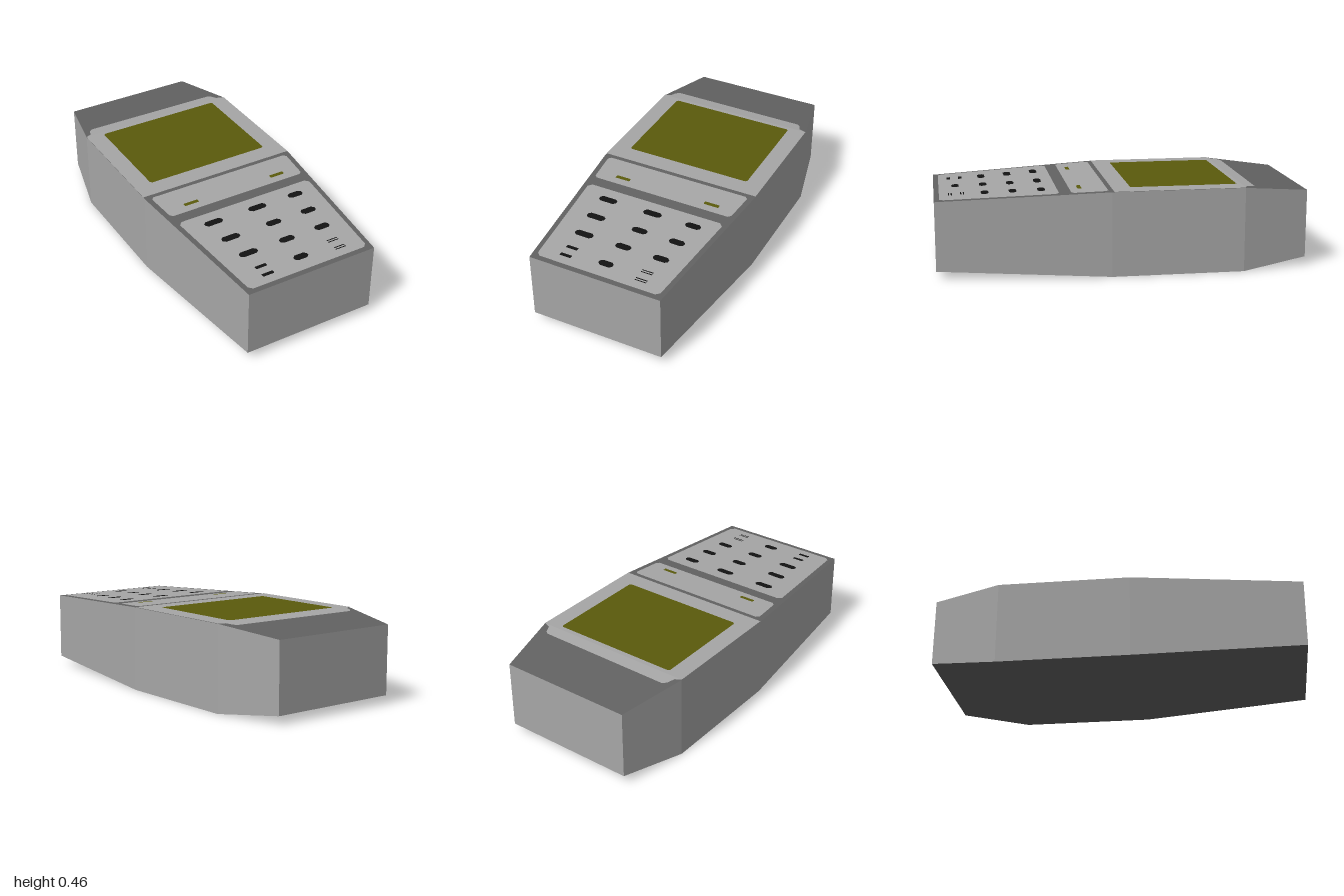
import * as THREE from 'three';

// Cross-sections of the case, back to front: z, half width, bottom, top
const SECTIONS = [
  [-1, 0.372, 0.045, 0.417],
  [-0.635, 0.457, 0, 0.457],
  [0.08, 0.457, 0, 0.457],
  [1, 0.372, 0.045, 0.417],
];

// Height of the top surface at a given z
function topY(z) {
  let i = 0;
  while (i < 2 && z > SECTIONS[i + 1][0]) i++;
  const a = SECTIONS[i], b = SECTIONS[i + 1];
  return a[3] + ((b[3] - a[3]) * (z - a[0])) / (b[0] - a[0]);
}

// Mesh from flat quads given as four counter-clockwise corners
function quadMesh(name, quads, material) {
  const pos = [];
  for (const [a, b, c, d] of quads) pos.push(...a, ...b, ...c, ...a, ...c, ...d);
  const geo = new THREE.BufferGeometry();
  geo.setAttribute('position', new THREE.Float32BufferAttribute(pos, 3));
  geo.computeVertexNormals();
  const mesh = new THREE.Mesh(geo, material);
  mesh.name = name;
  return mesh;
}

// Thin plate with an (x, z) outline, laid on the sloping top
function plate(name, outline, material, lift) {
  const geo = new THREE.ShapeGeometry(new THREE.Shape(outline.map(([x, z]) => new THREE.Vector2(x, -z))));
  geo.rotateX(-Math.PI / 2);
  const p = geo.attributes.position;
  for (let i = 0; i < p.count; i++) p.setY(i, topY(p.getZ(i)) + lift);
  geo.computeVertexNormals();
  const mesh = new THREE.Mesh(geo, material);
  mesh.name = name;
  return mesh;
}

// Trapezoid outline with cut corners
function panelOutline(x, backHalf, frontHalf, z0, z1, cx, cz = cx) {
  const right = [
    [backHalf - cx, z0], [backHalf, z0 + cz],
    [frontHalf, z1 - cz], [frontHalf - cx, z1],
  ];
  const left = right.map(([px, pz]) => [-px, pz]).reverse();
  return [...right, ...left].map(([px, pz]) => [px + x, pz]);
}

export function createModel() {
  const grey = new THREE.MeshStandardMaterial({ name: 'light grey', color: 0xa6a6a6 });
  const dark = new THREE.MeshStandardMaterial({ name: 'dark grey', color: 0x626262 });
  const olive = new THREE.MeshStandardMaterial({ name: 'olive', color: 0x5a5a0c });
  const black = new THREE.MeshStandardMaterial({ name: 'black', color: 0x121212 });

  const model = new THREE.Group();
  model.name = 'handheldDevice';

  // Case: tapered sides and ends, top cover and base
  const corner = ([z, w, bottom, top], side, up) => [side * w, up ? top : bottom, z];
  const sides = [], top = [], base = [];
  for (let i = 0; i < 3; i++) {
    const a = SECTIONS[i], b = SECTIONS[i + 1];
    sides.push([corner(b, 1, 0), corner(a, 1, 0), corner(a, 1, 1), corner(b, 1, 1)]);
    sides.push([corner(a, -1, 0), corner(b, -1, 0), corner(b, -1, 1), corner(a, -1, 1)]);
    top.push([corner(b, -1, 1), corner(b, 1, 1), corner(a, 1, 1), corner(a, -1, 1)]);
    base.push([corner(a, -1, 0), corner(a, 1, 0), corner(b, 1, 0), corner(b, -1, 0)]);
  }
  const back = SECTIONS[0], front = SECTIONS[3];
  sides.push([corner(front, -1, 0), corner(front, 1, 0), corner(front, 1, 1), corner(front, -1, 1)]);
  sides.push([corner(back, 1, 0), corner(back, -1, 0), corner(back, -1, 1), corner(back, 1, 1)]);
  model.add(
    quadMesh('caseSides', sides, grey),
    quadMesh('topCover', top, dark),
    quadMesh('base', base, dark),
  );

  // Screen surround: flat part, plus a lip folding over the back slope
  model.add(plate('screenSurround', [[-0.457, -0.635], [0.457, -0.635], [0.457, 0.07], [-0.457, 0.07]], grey, 0.002));
  model.add(plate('screenSurroundLip', [
    [-0.455, -0.635], [-0.425, -0.65], [-0.41, -0.69], [-0.39, -0.708],
    [0.385, -0.7], [0.4, -0.685], [0.415, -0.65], [0.455, -0.635],
  ], grey, 0.002));
  model.add(plate('screen', panelOutline(0, 0.36, 0.36, -0.61, -0.03, 0.01), olive, 0.004));

  // Front panels
  model.add(plate('buttonPanel', panelOutline(0, 0.425, 0.41, 0.095, 0.288, 0.015), grey, 0.002));
  model.add(plate('keypadPanel', panelOutline(0, 0.402, 0.35, 0.352, 0.972, 0.02), grey, 0.002));

  // Two olive buttons
  for (const x of [-0.258, 0.277]) {
    model.add(plate('softButton', panelOutline(x, 0.043, 0.043, 0.224, 0.246, 0.003), olive, 0.004));
  }

  // Keys: x, z, half width
  const keys = [
    [-0.238, 0.435, 0.052], [0.029, 0.435, 0.052], [0.267, 0.435, 0.043],
    [-0.225, 0.585, 0.052], [0.034, 0.585, 0.043], [0.25, 0.585, 0.043],
    [-0.21, 0.732, 0.052], [0.02, 0.732, 0.043], [0.236, 0.732, 0.043],
    [0.005, 0.882, 0.04],
  ];
  for (const [x, z, w] of keys) {
    model.add(plate('key', panelOutline(x, w, w, z - 0.02, z + 0.02, 0.014, 0.012), black, 0.004));
  }

  // Bottom row outer keys: pairs of narrow bars
  for (const z of [0.85, 0.914]) {
    model.add(plate('barKey', panelOutline(-0.21, 0.032, 0.032, z - 0.01, z + 0.01, 0.002), black, 0.004));
    for (const dz of [-0.007, 0.007]) {
      model.add(plate('lineKey', panelOutline(0.221, 0.032, 0.032, z + dz - 0.003, z + dz + 0.003, 0.001), black, 0.004));
    }
  }
  return model;
}
